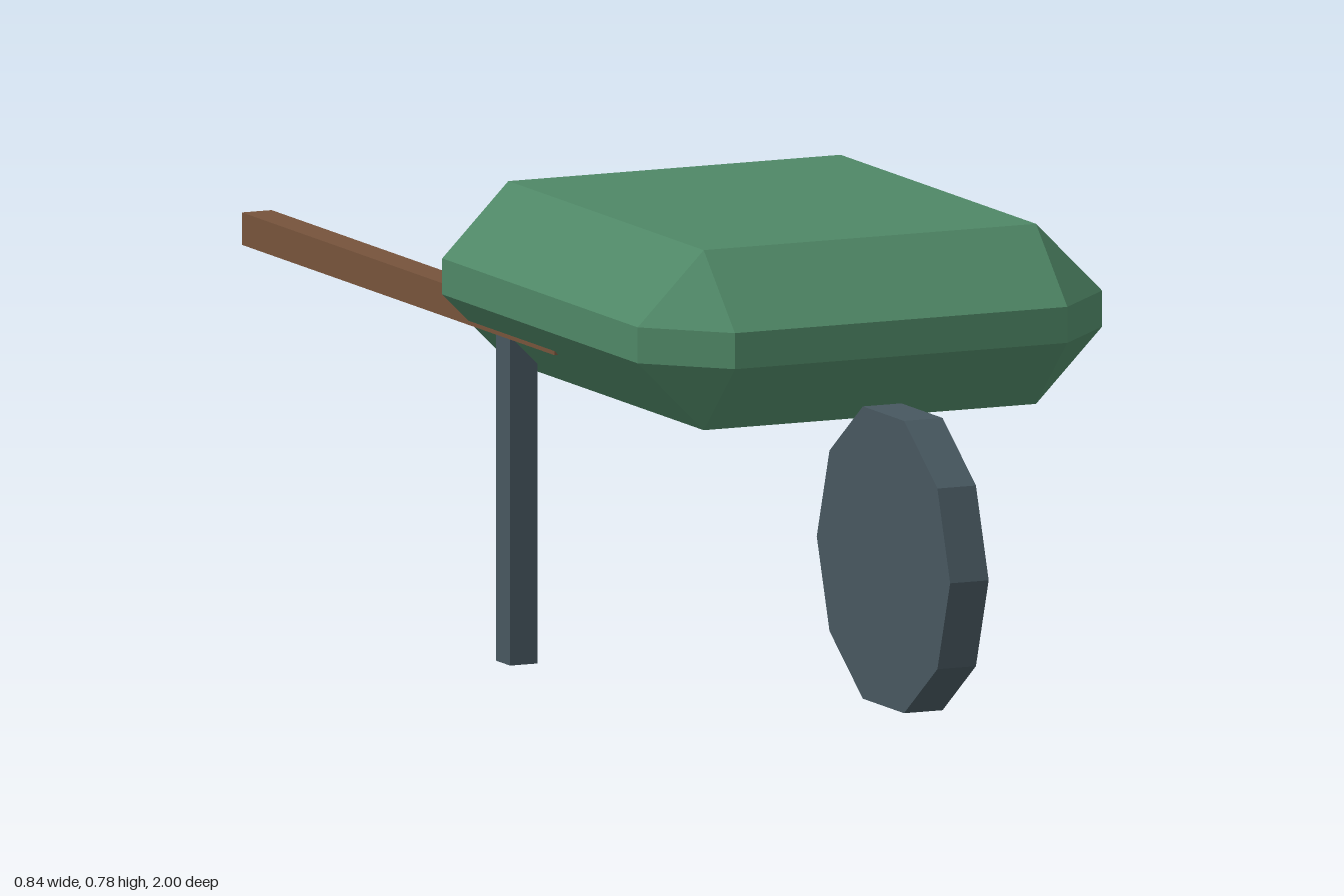
import * as THREE from 'three';
import { ConvexGeometry } from 'three/addons/geometries/ConvexGeometry.js';

const paint = (name, color) => {
  const m = new THREE.MeshStandardMaterial({ color });
  m.name = name;
  return m;
};

// Box whose edges are all cut at 45 degrees, with triangular corners
function chamferedBox(w, h, d, cut) {
  const points = [];
  for (const sx of [-1, 1]) for (const sy of [-1, 1]) for (const sz of [-1, 1]) {
    const outer = [w / 2, h / 2, d / 2];
    for (let axis = 0; axis < 3; axis++) {
      const p = outer.map((v, i) => (i === axis ? v : v - cut));
      points.push(new THREE.Vector3(sx * p[0], sy * p[1], sz * p[2]));
    }
  }
  return new ConvexGeometry(points);
}

export function createModel() {
  const green = paint('green tray', 0x4f8766);
  const wood = paint('brown wood', 0x76533b);
  const slate = paint('slate metal', 0x47575f);

  const model = new THREE.Group();
  model.name = 'wheelbarrow';
  const add = (name, geometry, material, x, y, z) => {
    const mesh = new THREE.Mesh(geometry, material);
    mesh.name = name;
    mesh.position.set(x, y, z);
    model.add(mesh);
    return mesh;
  };

  // Tray
  add('tray', chamferedBox(0.844, 0.3, 0.99, 0.12), green, 0, 0.628, 0.243);

  // Ten-sided front wheel, axle along x
  const wheelGeometry = new THREE.CylinderGeometry(0.256, 0.256, 0.07, 10).toNonIndexed();
  wheelGeometry.computeVertexNormals();
  add('wheel', wheelGeometry, slate, 0, 0.262, 0.744).rotation.z = Math.PI / 2;

  // Handles and legs, one of each per side
  const handleGeometry = new THREE.BoxGeometry(0.054, 0.054, 1.2);
  const legGeometry = new THREE.BoxGeometry(0.05, 0.55, 0.054);
  for (const [side, s] of [['left', 1], ['right', -1]]) {
    add(side + 'Handle', handleGeometry, wood, s * 0.348, 0.571, -0.4);
    add(side + 'Leg', legGeometry, slate, s * 0.348, 0.275, -0.002);
  }

  return model;
}
